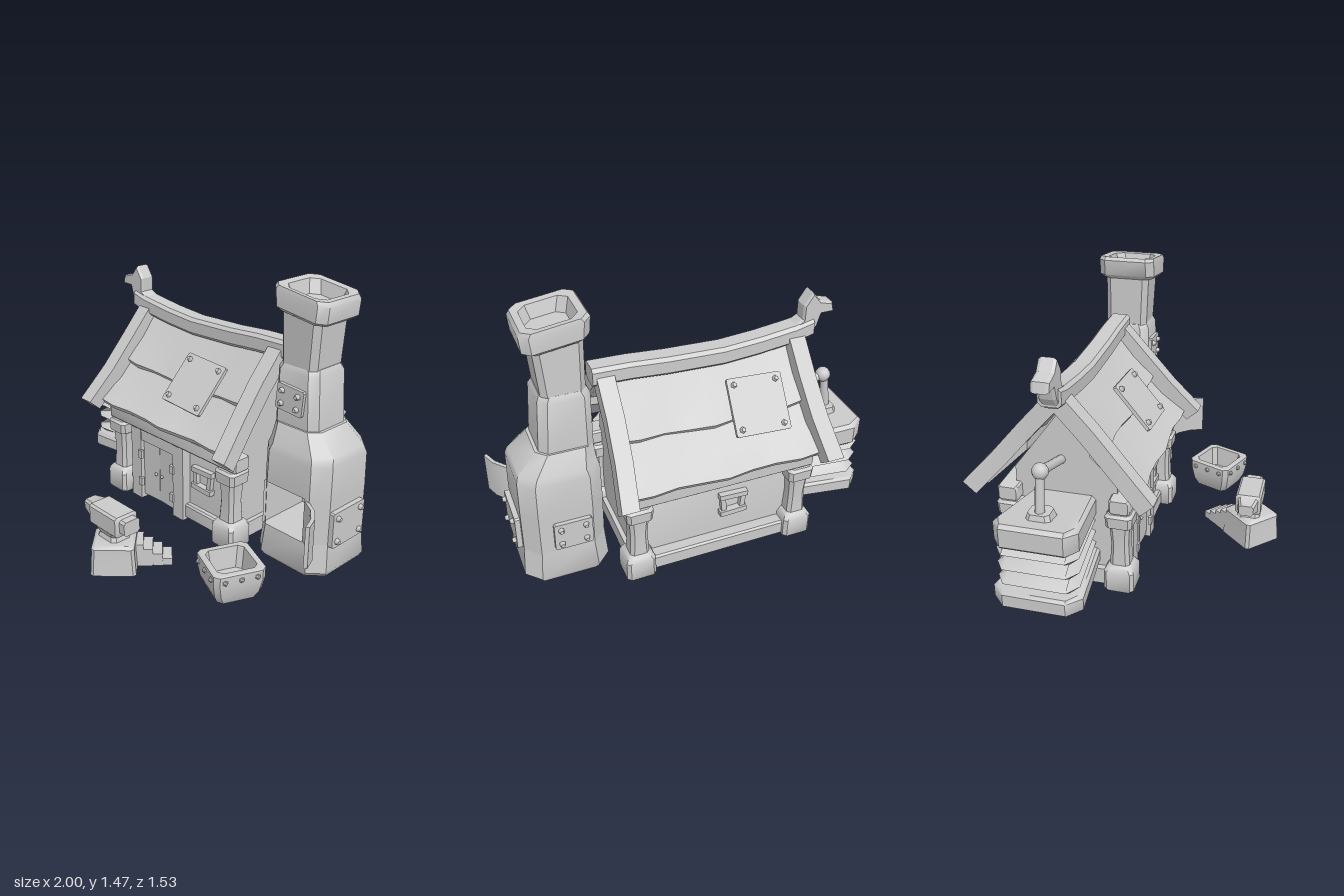
import * as THREE from 'three';
import { toCreasedNormals } from 'three/addons/utils/BufferGeometryUtils.js';

const MAT = new THREE.MeshStandardMaterial({ color: 0xcccccc });
const RIDGE_Z = -0.27;

// Skin between rings of equal point count; winding is turned outward automatically.
function loft(rings, caps = true) {
  const n = rings[0].length, side = [], ends = [];
  for (let r = 0; r < rings.length - 1; r++) {
    for (let i = 0; i < n; i++) {
      const j = (i + 1) % n, a = rings[r], b = rings[r + 1];
      side.push([a[i], a[j], b[j]], [a[i], b[j], b[i]]);
    }
  }
  const first = rings[0], last = rings[rings.length - 1];
  for (let i = 1; i < n - 1; i++) {
    ends.push([first[0], first[i + 1], first[i]], [last[0], last[i], last[i + 1]]);
  }
  const vec = (p) => new THREE.Vector3(...p);
  let volume = 0;
  for (const [a, b, c] of [...side, ...ends]) volume += vec(a).dot(vec(b).cross(vec(c)));
  const tris = caps ? [...side, ...ends] : side;
  const flat = tris.flatMap(([a, b, c]) => (volume < 0 ? [a, c, b] : [a, b, c])).flat();
  const g = new THREE.BufferGeometry();
  g.setAttribute('position', new THREE.Float32BufferAttribute(flat, 3));
  return toCreasedNormals(g, 0.65);
}

// Chamfered rectangle: horizontal at height y, or upright across x.
function outline(cu, cv, hu, hv, c) {
  return [[hu - c, hv], [hu, hv - c], [hu, c - hv], [hu - c, -hv],
    [c - hu, -hv], [-hu, c - hv], [-hu, hv - c], [c - hu, hv]].map(([u, v]) => [cu + u, cv + v]);
}
const ringY = (y, cx, cz, hx, hz, c = 0.02, tilt = 0) =>
  outline(cx, cz, hx, hz, c).map(([x, z]) => [x, y + tilt * (x - cx), z]);
const ringX = (x, cy, cz, hy, hz, c = 0.02) =>
  outline(cz, cy, hz, hy, c).map(([z, y]) => [x, y, z]);

function add(parent, name, geometry, pos = [0, 0, 0], rot = [0, 0, 0]) {
  const m = new THREE.Mesh(geometry, MAT);
  m.name = name;
  m.position.set(...pos);
  m.rotation.set(...rot);
  parent.add(m);
  return m;
}
const box = (parent, name, size, pos, rot) => add(parent, name, new THREE.BoxGeometry(...size), pos, rot);
// Beam with chamfered edges running along x
const beam = (parent, name, x0, x1, y, z, hy, hz) => add(parent, name, loft([
  ringX(x0, y, z, hy * 0.85, hz * 0.85, 0.01), ringX(x0 + 0.012, y, z, hy, hz, 0.01),
  ringX(x1 - 0.012, y, z, hy, hz, 0.01), ringX(x1, y, z, hy * 0.85, hz * 0.85, 0.01)]));

function group(parent, name, pos = [0, 0, 0], rot = [0, 0, 0]) {
  const g = new THREE.Group();
  g.name = name;
  g.position.set(...pos);
  g.rotation.set(...rot);
  parent.add(g);
  return g;
}

// Riveted plate lying in its local xz plane
function plate(parent, name, w, d, pos, rot, t = 0.02) {
  const g = group(parent, name, pos, rot);
  add(g, 'plate', loft([ringY(-t / 2, 0, 0, w / 2, d / 2, 0.008), ringY(t / 2, 0, 0, w / 2, d / 2, 0.008)]));
  for (const sx of [-1, 1]) for (const sz of [-1, 1]) {
    add(g, 'rivet', new THREE.CylinderGeometry(0.011, 0.018, 0.022, 6),
      [sx * (w / 2 - 0.035), t / 2 + 0.008, sz * (d / 2 - 0.035)]);
  }
}

function buildHouse(root) {
  const house = group(root, 'house');
  // Walls and gables as one pentagon running along x
  const gable = [[0, 0.01], [0, 0.64], [RIDGE_Z, 1.0], [-0.54, 0.64], [-0.54, 0.01]];
  add(house, 'walls', loft([-0.53, 0.38].map((x) => gable.map(([z, y]) => [x, y, z]))));
  for (const x of [-0.535, 0.37]) for (const z of [0.02, -0.56]) {
    const steps = [[0.005, 0.07], [0.02, 0.08], [0.125, 0.08], [0.15, 0.065], [0.16, 0.052], [0.28, 0.046],
      [0.38, 0.052], [0.39, 0.068], [0.45, 0.072], [0.465, 0.06]];
    add(house, 'cornerPillar', loft(steps.map(([y, h]) => ringY(y, x, z, h, h, 0.018))));
  }
  for (const z of [0.025, -0.565]) beam(house, 'eaveBeam', -0.6, 0.45, 0.51, z, 0.042, 0.055);
  beam(house, 'backSill', -0.5, 0.34, 0.06, -0.56, 0.045, 0.045);
  beam(house, 'frontSill', 0, 0.34, 0.06, 0.005, 0.045, 0.03);
  for (const x of [-0.53, 0.37]) box(house, 'sideSill', [0.07, 0.09, 0.5], [x, 0.06, RIDGE_Z]);

  // Double door with frame and hinges
  const door = group(house, 'door');
  for (const x of [-0.385, -0.02]) box(door, 'doorPost', [0.085, 0.46, 0.07], [x, 0.235, 0.02]);
  box(door, 'doorLintel', [0.4, 0.08, 0.06], [-0.2, 0.43, 0.02]);
  for (const s of [-1, 1]) {
    box(door, 'doorLeaf', [0.132, 0.36, 0.03], [-0.205 + s * 0.068, 0.21, 0.015], [0, -s * 0.05, 0]);
    add(door, 'doorKnob', new THREE.SphereGeometry(0.01, 6, 4), [-0.205 + s * 0.025, 0.2, 0.035]);
    for (const y of [0.12, 0.3]) box(door, 'hinge', [0.03, 0.05, 0.02], [-0.205 + s * 0.137, y, 0.055]);
  }

  // Small framed windows, front and back
  for (const [x, z, s] of [[0.145, 0, 1], [-0.17, -0.54, -1]]) {
    const w = group(house, 'window', [x, 0.3, z]);
    box(w, 'windowHead', [0.16, 0.03, 0.045], [0, 0.052, s * 0.01], [0, 0, 0.04]);
    box(w, 'windowSill', [0.15, 0.03, 0.05], [0, -0.052, s * 0.012], [0, 0, -0.04]);
    for (const k of [-1, 1]) box(w, 'windowJamb', [0.028, 0.1, 0.035], [k * 0.055, 0, s * 0.008], [0, 0, -k * 0.1]);
  }
}

function buildRoof(root) {
  const roof = group(root, 'roof');
  const sag = (x) => -0.035 * (1 - Math.min(1, ((x + 0.08) / 0.55) ** 2));
  for (const s of [1, -1]) {
    // Two overlapping sagging sheets: distance from ridge and height at top and bottom
    for (const [name, d0, y0, d1, y1] of [['upperSheet', 0, 1.075, 0.22, 0.82], ['lowerSheet', 0.16, 0.845, 0.405, 0.6]]) {
      const rings = [];
      for (let i = 0; i <= 8; i++) {
        const x = -0.62 + i * 0.134, dy = sag(x), wave = 0.012 * Math.sin(i * 1.9);
        rings.push([[d0, y0], [(d0 + d1) / 2, (y0 + y1) / 2 - 0.012], [d1 + wave, y1], [d1 - 0.02 + wave, y1 - 0.03],
          [d0, y0 - 0.05]].map(([d, y]) => [x, y + dy * (y < 0.63 ? 0.3 : 1), RIDGE_Z + s * d]));
      }
      add(roof, name, loft(rings));
    }
    // Barge boards on both gable ends
    for (const [e, cx] of [[-1, -0.605], [1, 0.43]]) {
      const path = [[0, 1.09, 0], [0.16, 0.91, 0], [0.3, 0.745, 0.01], [0.46, 0.57, 0.035]];
      add(roof, 'bargeBoard', loft(path.map(([d, y, out]) =>
        [[-1, -1], [1, -1], [1, 1], [-1, 1]].map(([a, b]) =>
          [cx + e * out + a * 0.045, y + b * 0.03, RIDGE_Z + s * (d + b * 0.034)]))));
    }
  }
  // Ridge log with an upturned carved end
  const ridge = [[-0.7, 1.125], [-0.6, 1.1], [-0.4, 1.075], [-0.2, 1.06], [0.1, 1.07], [0.3, 1.085], [0.495, 1.09]];
  add(roof, 'ridgeLog', loft(ridge.map(([x, y]) => ringX(x, y, RIDGE_Z, 0.05, 0.06, 0.018))));
  const head = new THREE.Shape([[-0.81, 1.2], [-0.74, 1.2], [-0.72, 1.13], [-0.68, 1.07], [-0.6, 1.07], [-0.6, 1.14],
    [-0.65, 1.17], [-0.65, 1.25], [-0.69, 1.31], [-0.73, 1.26], [-0.8, 1.24]].map((p) => new THREE.Vector2(...p)));
  add(roof, 'ridgeFinial', new THREE.ExtrudeGeometry(head, { depth: 0.06, bevelSize: 0.008, bevelThickness: 0.015, bevelSegments: 1 }),
    [0, 0, RIDGE_Z - 0.03]);
  plate(roof, 'roofPatch', 0.3, 0.3, [0.025, 0.825, -0.03], [0.86, -0.05, 0]);
  plate(roof, 'roofPatch', 0.3, 0.3, [-0.32, 0.845, -0.485], [-0.86, -0.05, 0]);
}

function buildForge(root) {
  const forge = group(root, 'forge');
  const cx = 0.71, cz = -0.25;
  const body = (y, h) => ringY(y, cx, cz, h, h, 0.075);
  add(forge, 'hearthBase', loft([body(0.005, 0.215), body(0.03, 0.228), body(0.19, 0.215)]));
  // Open-fronted section around the fire
  const cut = (y) => {
    const r = body(y, 0.215), f = cz + 0.215;
    return [[0.82, y, f], ...r.slice(0, 8), [0.55, y, f], [0.55, y, -0.36], [0.82, y, -0.36]];
  };
  add(forge, 'fireOpening', loft([cut(0.19), cut(0.44)], false));
  add(forge, 'hearthTop', loft([body(0.44, 0.215), body(0.62, 0.212), body(0.66, 0.2),
    ringY(0.76, 0.665, cz, 0.145, 0.15, 0.05)]));
  const cap = (y, h, hi = h) => ringY(y, 0.665, -0.24, h, hi, 0.04, -0.14);
  add(forge, 'lowerStack', loft([ringY(0.74, 0.655, cz, 0.14, 0.14, 0.04), ringY(1.04, 0.645, cz, 0.13, 0.135, 0.04),
    ringY(1.07, 0.645, cz, 0.115, 0.12, 0.04)]));
  add(forge, 'upperStack', loft([ringY(1.05, 0.645, cz, 0.11, 0.12, 0.03), ringY(1.36, 0.655, -0.24, 0.125, 0.125, 0.03)]));
  add(forge, 'chimneyCap', loft([cap(1.325, 0.14), cap(1.345, 0.16), cap(1.43, 0.168, 0.16), cap(1.45, 0.155),
    cap(1.445, 0.12), cap(1.375, 0.1)]));
  // Repair plates on the stack, outer side and back
  plate(forge, 'stackPatch', 0.17, 0.14, [0.64, 0.9, -0.105], [Math.PI / 2, -0.08, 0]);
  plate(forge, 'sidePatch', 0.2, 0.25, [0.932, 0.275, -0.235], [0, 0, -Math.PI / 2], 0.04);
  plate(forge, 'backPatch', 0.2, 0.16, [0.68, 0.3, -0.472], [-Math.PI / 2, 0, 0], 0.03);
  // Curved fire door, swung open
  const path = [[0.82, -0.035], [0.9, 0.015], [0.955, 0.08], [0.985, 0.155]];
  add(forge, 'fireDoor', loft(path.map(([x, z]) => [[x, 0.2, z], [x + 0.016, 0.2, z - 0.012],
    [x + 0.016, 0.43, z - 0.012], [x, 0.43, z]])));
}

function buildBellows(root) {
  const bellows = group(root, 'bellows');
  // Outline narrowing toward the wall; height runs from yL at the outer end to yR at the wall
  const ring = (yL, yR, i) => [[-1 + i, -0.13], [-0.93 + i, -0.06 - i], [-0.52, -0.1 - i], [-0.52, -0.47 + i],
    [-0.93 + i, -0.52 + i], [-1 + i, -0.45]].map(([x, z]) => [x, yL + (yR - yL) * (x + 1) / 0.48, z]);
  add(bellows, 'bottomBoard', loft([ring(0.11, 0.13, 0.015), ring(0.125, 0.14, 0), ring(0.19, 0.195, 0), ring(0.205, 0.21, 0.015)]));
  add(bellows, 'topBoard', loft([ring(0.445, 0.405, 0.03), ring(0.46, 0.42, 0.015), ring(0.56, 0.5, 0.015), ring(0.58, 0.52, 0.035)]));
  const folds = [];
  for (let i = 0; i <= 6; i++) folds.push(ring(0.2 + i * 0.042, 0.21 + i * 0.034, i % 2 ? 0.02 : 0.085));
  add(bellows, 'pleats', loft(folds));
  // Pump linkage
  add(bellows, 'bracket', loft([ringY(0.54, -0.835, -0.29, 0.065, 0.07), ringY(0.595, -0.835, -0.29, 0.05, 0.055)]));
  add(bellows, 'pumpPost', new THREE.CylinderGeometry(0.023, 0.026, 0.25, 8), [-0.833, 0.69, -0.29], [0, 0, -0.13]);
  add(bellows, 'pumpJoint', new THREE.SphereGeometry(0.042, 10, 8), [-0.812, 0.795, -0.29]);
  add(bellows, 'pumpRod', new THREE.CylinderGeometry(0.024, 0.024, 0.32, 8), [-0.66, 0.75, -0.29], [0, 0, Math.PI / 2 - 0.29]);
}

function buildYard(root) {
  // Anvil on its stump
  const anvil = group(root, 'anvil');
  add(anvil, 'stump', loft([[0.005, 0.118], [0.13, 0.11], [0.155, 0.11], [0.17, 0.095]].map(([y, h]) =>
    ringY(y, 0, 0, h, h, 0.015))), [0.105, 0, 0.61], [0, 0.8, 0]);
  add(anvil, 'anvilFoot', loft([[0.165, 0.075], [0.195, 0.065], [0.225, 0.08]].map(([y, h]) => ringY(y, 0.09, 0.6, h, h * 0.85))));
  add(anvil, 'anvilBody', loft([[-0.105, 0.285, 0.03, 0.04], [-0.03, 0.28, 0.045, 0.055], [-0.02, 0.275, 0.058, 0.07],
    [0.19, 0.275, 0.058, 0.07], [0.2, 0.28, 0.04, 0.05], [0.24, 0.28, 0.04, 0.05]].map(([x, y, hy, hz]) =>
    ringX(x, y, 0.6, hy, hz, 0.012))));
  // Stepped rack leaning on the stump
  const rack = group(root, 'steppedRack', [0.14, 0, 0.51], [0, 0.85, 0]);
  [0.13, 0.1, 0.07, 0.04].forEach((h, i) => box(rack, 'step', [0.06, h, 0.13 - i * 0.004], [0.02 + i * 0.05, h / 2 + 0.003, 0]));

  // Square open tub with rivets round the rim
  const tub = group(root, 'tub', [0.67, 0, 0.325], [0, -0.4, 0]);
  add(tub, 'tubShell', loft([[0.004, 0.105], [0.05, 0.125], [0.12, 0.137], [0.175, 0.137], [0.18, 0.13], [0.178, 0.105],
    [0.06, 0.09]].map(([y, h]) => ringY(y, 0, 0, h, h, 0.025))));
  for (let k = 0; k < 4; k++) for (const u of [-0.085, 0, 0.085]) {
    const a = k * Math.PI / 2, c = Math.cos(a), s = Math.sin(a);
    add(tub, 'tubRivet', new THREE.IcosahedronGeometry(0.015, 0), [0.139 * c - u * s, 0.145, 0.139 * s + u * c]);
  }
}

export function createModel() {
  const root = new THREE.Group();
  root.name = 'smithy';
  for (const build of [buildHouse, buildRoof, buildForge, buildBellows, buildYard]) build(root);
  return root;
}
